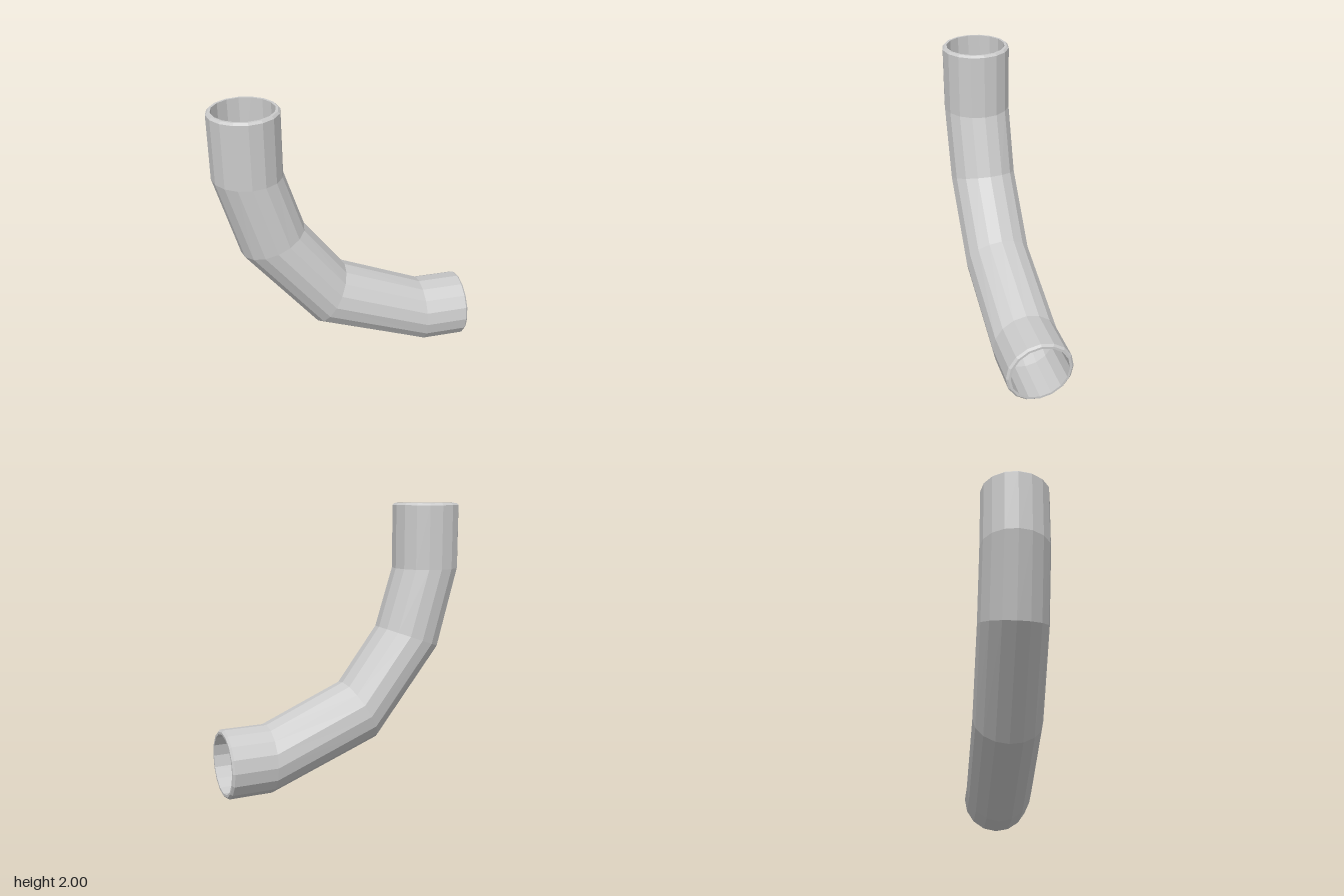
import * as THREE from 'three';

const SIDES = 16;
const OUTER = 0.241;
const INNER = 0.21;
const BEVEL = 0.014;

// Centreline stations of the bent pipe: x, y and the tilt of the ring in degrees
const STATIONS = [
  [-0.667, 1.535, 0],
  [-0.52, 1.033, 20],
  [-0.118, 0.52, 61],
  [0.585, 0.243, 90],
];
const TOP = [-0.667, 2, 0];
const END = [0.905, 0.243, 90];

// Moves a station along the pipe axis
function shift([x, y, deg], d) {
  const a = THREE.MathUtils.degToRad(deg);
  return [x + Math.sin(a) * d, y - Math.cos(a) * d, deg];
}

// Joins a closed sequence of rings into a skin
function skinRings(rings) {
  const positions = [];
  const index = [];
  rings.forEach(([[x, y, deg], r], i) => {
    const a = THREE.MathUtils.degToRad(deg);
    const next = (i + 1) % rings.length;
    for (let j = 0; j < SIDES; j++) {
      const t = (j / SIDES) * Math.PI * 2;
      const u = r * Math.cos(t);
      positions.push(x + u * Math.cos(a), y + u * Math.sin(a), r * Math.sin(t));
      const k = (j + 1) % SIDES;
      const p = i * SIDES + j, q = i * SIDES + k;
      const s = next * SIDES + k, w = next * SIDES + j;
      index.push(p, q, s, p, s, w);
    }
  });
  const geometry = new THREE.BufferGeometry();
  geometry.setAttribute('position', new THREE.Float32BufferAttribute(positions, 3));
  geometry.setIndex(index);
  geometry.computeVertexNormals();
  return geometry;
}

export function createModel() {
  const group = new THREE.Group();
  group.name = 'bentPipe';

  const rings = [
    // outer wall with a small bevel at each mouth
    [TOP, OUTER - BEVEL],
    [shift(TOP, BEVEL), OUTER],
    ...STATIONS.map((s) => [s, OUTER]),
    [shift(END, -BEVEL), OUTER],
    [END, OUTER - BEVEL],
    // inner wall, running back to the top
    [END, INNER],
    ...STATIONS.map((s) => [s, INNER]).reverse(),
    [TOP, INNER],
  ];

  const material = new THREE.MeshStandardMaterial({ color: 0xcccccc, flatShading: true });
  const pipe = new THREE.Mesh(skinRings(rings), material);
  pipe.name = 'pipeWall';
  group.add(pipe);
  return group;
}
